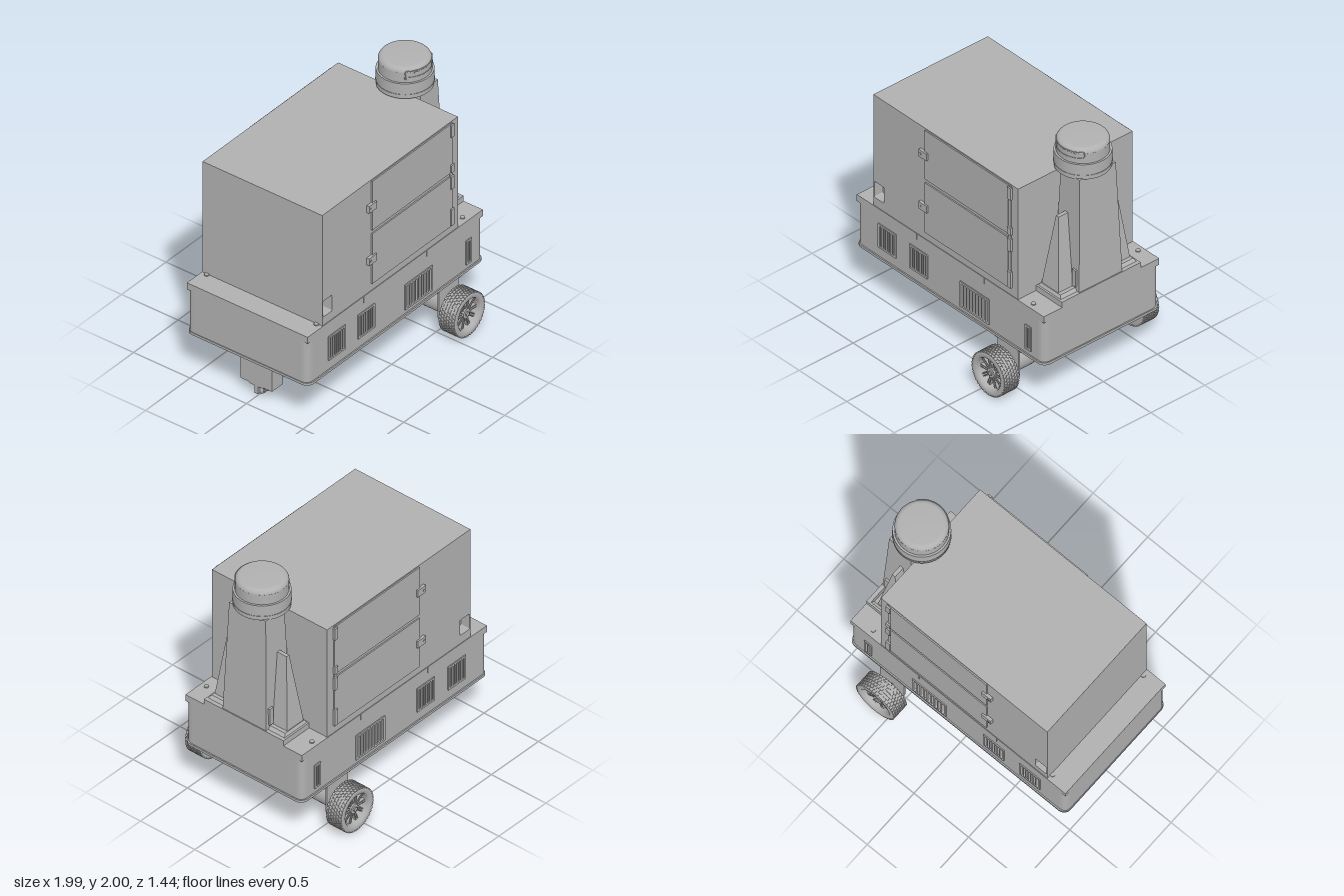
import * as THREE from 'three';
import { mergeGeometries } from 'three/addons/utils/BufferGeometryUtils.js';

const grey = new THREE.MeshStandardMaterial({ color: 0xb0b0b0 });
grey.name = 'plain grey';

function add(parent, name, geometry) {
  const mesh = new THREE.Mesh(geometry, grey);
  mesh.name = name;
  parent.add(mesh);
  return mesh;
}

// Box given by its limits on each axis
function span(x0, x1, y0, y1, z0, z1) {
  return new THREE.BoxGeometry(x1 - x0, y1 - y0, z1 - z0)
    .translate((x0 + x1) / 2, (y0 + y1) / 2, (z0 + z1) / 2);
}

// Box tapering between two rectangles [x0, x1, z0, z1]
function taper(y0, y1, low, high) {
  const g = new THREE.BoxGeometry(1, 1, 1).toNonIndexed();
  const p = g.attributes.position;
  for (let i = 0; i < p.count; i++) {
    const top = p.getY(i) > 0, r = top ? high : low;
    p.setXYZ(i, p.getX(i) > 0 ? r[1] : r[0], top ? y1 : y0, p.getZ(i) > 0 ? r[3] : r[2]);
  }
  g.computeVertexNormals();
  return g;
}

function roundRect(x0, x1, y0, y1, r, Kind = THREE.Path) {
  const s = new Kind();
  s.moveTo(x0 + r, y0);
  s.lineTo(x1 - r, y0);
  s.absarc(x1 - r, y0 + r, r, -Math.PI / 2, 0);
  s.lineTo(x1, y1 - r);
  s.absarc(x1 - r, y1 - r, r, 0, Math.PI / 2);
  s.lineTo(x0 + r, y1);
  s.absarc(x0 + r, y1 - r, r, Math.PI / 2, Math.PI);
  s.lineTo(x0, y0 + r);
  s.absarc(x0 + r, y0 + r, r, Math.PI, Math.PI * 1.5);
  return s;
}

function rect(x0, x1, y0, y1, Kind = THREE.Shape) {
  const s = new Kind();
  s.moveTo(x0, y0);
  s.lineTo(x1, y0);
  s.lineTo(x1, y1);
  s.lineTo(x0, y1);
  s.closePath();
  return s;
}

const extrude = (shape, depth) => new THREE.ExtrudeGeometry(shape, { depth, bevelEnabled: false, curveSegments: 8 });
const slab = (shape, y0, y1) => extrude(shape, y1 - y0).rotateX(-Math.PI / 2).translate(0, y0, 0);
const cylZ = (r, z0, z1, n = 32) => new THREE.CylinderGeometry(r, r, z1 - z0, n)
  .rotateX(Math.PI / 2).translate(0, 0, (z0 + z1) / 2);

// Vents: x range, y range, slot count
const vents = [
  [-0.76, -0.57, 0.465, 0.67, 7], [-0.43, -0.24, 0.465, 0.67, 7],
  [0.10, 0.41, 0.42, 0.635, 9], [0.785, 0.85, 0.425, 0.63, 2],
];

function ventHoles([x0, x1, y0, y1, n]) {
  const pitch = (x1 - x0 - 0.024) / n, holes = [];
  for (let i = 0; i < n; i++) {
    const a = x0 + 0.012 + pitch * (i + 0.2);
    holes.push(roundRect(a, a + pitch * 0.6, y0 + 0.015, y1 - 0.015, 0.006));
  }
  return holes;
}

// Hollow chassis shared by both sides
function buildChassis(g) {
  const end = (x0, x1, dir) => {
    const s = new THREE.Shape(), r = 0.06;
    const outer = dir > 0 ? x1 : x0, inner = dir > 0 ? x0 : x1;
    s.moveTo(inner, -0.535);
    s.quadraticCurveTo(outer, -0.535, outer, -0.535 + r);
    s.lineTo(outer, 0.535 - r);
    s.quadraticCurveTo(outer, 0.535, inner, 0.535);
    s.closePath();
    return slab(s, 0.385, 0.74);
  };
  add(g, 'chassisFrontEnd', end(0.92, 0.98, 1));
  add(g, 'chassisRearEnd', end(-0.99, -0.93, -1));
  add(g, 'chassisDeck', span(-0.99, 0.98, 0.735, 0.79, -0.535, 0.535));
  add(g, 'chassisFloor', slab(roundRect(-0.995, 0.99, -0.545, 0.545, 0.06, THREE.Shape), 0.37, 0.39));
  add(g, 'innerBallast', span(0.74, 0.92, 0.39, 0.735, -0.5, 0.5));
}

// Vented wall, doors, latches and hinges on the +z side; turned over for -z
function buildSide(mirrored) {
  const g = new THREE.Group();
  const sx = mirrored ? -1 : 1;
  const X = (a, b) => sx > 0 ? [a, b] : [-b, -a];
  const box = (name, a, b, y0, y1, z0, z1) => add(g, name, span(...X(a, b), y0, y1, z0, z1));

  const wall = rect(...X(-0.93, 0.92), 0.385, 0.74);
  for (const [a, b, y0, y1, n] of vents) {
    const v = [...X(a, b), y0, y1, n], holes = ventHoles(v);
    wall.holes.push(...holes);
    const frame = roundRect(v[0], v[1], y0, y1, 0.005, THREE.Shape);
    frame.holes.push(...holes);
    add(g, 'ventFrame', extrude(frame, 0.008).translate(0, 0, 0.535));
  }
  add(g, 'chassisWall', extrude(wall, 0.02).translate(0, 0, 0.515));
  for (const x of [-0.36, 0.35]) box('deckSeam', x - 0.003, x + 0.003, 0.74, 0.79, 0.53, 0.539);

  // Outer layer of the cabinet with a pocket at the rear corner
  const skin = rect(...X(-0.82, 0.705), 0.79, 1.73);
  skin.holes.push(roundRect(...X(-0.81, -0.71), 0.86, 0.995, 0.01));
  add(g, 'cabinetSide', extrude(skin, 0.08).translate(0, 0, 0.45));

  for (const [y0, y1] of [[0.85, 1.275], [1.305, 1.72]]) box('door', -0.27, 0.61, y0, y1, 0.525, 0.54);
  for (const y of [1.065, 1.51]) {
    box('latch', -0.32, -0.235, y - 0.03, y + 0.03, 0.525, 0.553);
    add(g, 'latchPin', cylZ(0.009, 0.55, 0.557, 16).translate(sx * -0.3, y, 0));
  }
  box('hingeStrip', 0.61, 0.635, 0.85, 1.72, 0.525, 0.537);
  for (const [y0, y1] of [[0.86, 0.995], [1.17, 1.275], [1.31, 1.37], [1.61, 1.71]])
    box('hinge', 0.61, 0.645, y0, y1, 0.525, 0.55);
  for (const x of [-0.83, 0.815])
    add(g, 'deckScrew', new THREE.CylinderGeometry(0.018, 0.018, 0.008, 20).translate(sx * x, 0.794, 0.485));

  if (mirrored) g.rotation.y = Math.PI;
  g.name = mirrored ? 'rightSidePanels' : 'leftSidePanels';
  return g;
}

// Mast with side fins, carrying the round sensor head
function buildMast(g) {
  add(g, 'mastFoot', span(0.705, 0.98, 0.79, 0.835, -0.365, 0.365));
  add(g, 'mast', taper(0.835, 1.76, [0.71, 0.972, -0.2, 0.2], [0.742, 0.94, -0.168, 0.168]));
  for (const s of [-1, 1]) {
    const z = (a, b) => s > 0 ? [a, b] : [-b, -a];
    add(g, 'mastFin', taper(0.835, 1.435, [0.725, 0.905, ...z(0.15, 0.335)], [0.802, 0.83, ...z(0.15, 0.265)]));
    add(g, 'finBase', taper(0.835, 0.858, [0.712, 0.95, ...z(0.15, 0.35)], [0.725, 0.93, ...z(0.15, 0.338)]));
    add(g, 'mastClip', span(0.908, 0.945, 0.87, 1.01, ...z(0.18, 0.21)));
    add(g, 'mastBracket', span(0.72, 0.75, 0.91, 1.05, ...z(0.18, 0.207)));
  }
  add(g, 'headSupport', span(0.69, 0.75, 1.68, 1.75, -0.1, 0.1));

  const head = new THREE.Group();
  head.name = 'sensorHead';
  head.position.set(0.785, 0, 0);
  const lathe = pts => new THREE.LatheGeometry(pts.map(p => new THREE.Vector2(...p)), 64);
  add(head, 'headUnderside', lathe([[0, 1.725], [0.1, 1.728], [0.165, 1.74], [0.195, 1.755]]));
  add(head, 'headCollar', new THREE.CylinderGeometry(0.205, 0.205, 0.125, 64).translate(0, 1.815, 0));
  add(head, 'headGroove', new THREE.CylinderGeometry(0.208, 0.208, 0.006, 64).translate(0, 1.785, 0));
  add(head, 'headDrum', new THREE.CylinderGeometry(0.19, 0.19, 0.09, 64).translate(0, 1.915, 0));
  const dome = [[0.19, 1.955]];
  for (let i = 1; i <= 8; i++) {
    const a = i * Math.PI / 16;
    dome.push([0.15 + 0.04 * Math.cos(a), 1.955 + 0.04 * Math.sin(a)]);
  }
  add(head, 'headCap', lathe([...dome, [0.06, 1.999], [0, 2]]));

  // Lens window outline wrapped around the drum
  const outline = roundRect(-0.9, 0.9, -0.025, 0.025, 0.0249).getSpacedPoints(80)
    .map(p => new THREE.Vector3(0.189 * Math.sin(p.x), 1.945 + p.y, 0.189 * Math.cos(p.x)));
  add(head, 'lensWindowFrame', new THREE.TubeGeometry(new THREE.CatmullRomCurve3(outline, true), 120, 0.004, 6, true));
  for (const a of [-0.48, 0.48])
    add(head, 'lens', cylZ(0.019, 0.17, 0.194, 24).rotateY(a).translate(0, 1.945, 0));
  g.add(head);
}

// Treaded, spoked wheel centred on its own z axis
function buildWheel() {
  const g = new THREE.Group();
  g.name = 'driveWheel';
  const profile = [[0.13, -0.07], [0.162, -0.072], [0.17, -0.062], [0.17, 0.062], [0.162, 0.072],
    [0.13, 0.07], [0.122, 0.05], [0.122, -0.05], [0.13, -0.07]].map(p => new THREE.Vector2(...p));
  add(g, 'tyre', new THREE.LatheGeometry(profile, 60).rotateX(Math.PI / 2));
  const blocks = [], spokes = [];
  for (let row = 0; row < 6; row++) for (let i = 0; i < 40; i++)
    blocks.push(new THREE.BoxGeometry(0.012, 0.018, 0.019).translate(0.169, 0, (row - 2.5) * 0.0235)
      .rotateZ((i + (row % 2) / 2) * Math.PI / 20));
  add(g, 'treadBlocks', mergeGeometries(blocks));
  for (let i = 0; i < 10; i++) for (const s of [-0.009, 0.009])
    spokes.push(new THREE.BoxGeometry(0.1, 0.007, 0.025).translate(0.078, s, 0.02).rotateZ(i * Math.PI / 5));
  add(g, 'spokes', mergeGeometries(spokes));
  add(g, 'hub', cylZ(0.038, -0.05, 0.045));
  add(g, 'hubCap', cylZ(0.018, 0.04, 0.055, 6));
  return g;
}

// Motor, bracket and wheel on the +z side
function buildDrive() {
  const g = new THREE.Group();
  const wheel = buildWheel();
  wheel.position.set(0.6, 0.183, 0.648);
  g.add(wheel);
  const at = (name, r, z0, z1, y = 0.22, x = 0.6) => add(g, name, cylZ(r, z0, z1).translate(x, y, 0));
  at('axle', 0.015, 0.52, 0.62, 0.183);
  at('gearbox', 0.097, 0.37, 0.52);
  at('motor', 0.087, 0.25, 0.37);
  at('motorShaftEnd', 0.02, 0.238, 0.25);
  for (const x of [0.55, 0.65]) at('motorTerminal', 0.009, 0.232, 0.25, 0.22, x);
  add(g, 'motorPlate', extrude(roundRect(0.49, 0.71, 0.115, 0.37, 0.03, THREE.Shape), 0.014).translate(0, 0, 0.52));
  add(g, 'motorFlange', span(0.46, 0.74, 0.355, 0.372, 0.3, 0.534));
  return g;
}

// Rear leg with ball caster
function buildCaster(g) {
  add(g, 'casterLeg', span(-0.89, -0.765, 0.1, 0.375, -0.14, 0.14));
  add(g, 'casterPlate', span(-0.89, -0.765, 0.09, 0.112, -0.065, 0.065));
  for (const s of [-1, 1]) {
    add(g, 'casterFork', span(-0.85, -0.806, 0.03, 0.095, s * 0.036 - 0.007, s * 0.036 + 0.007));
    add(g, 'casterLug', span(-0.828 + s * 0.05 - 0.011, -0.828 + s * 0.05 + 0.011, 0.025, 0.095, -0.014, 0.014));
  }
  add(g, 'casterPin', cylZ(0.012, -0.06, 0.06, 16).translate(-0.828, 0.05, 0));
  add(g, 'casterBall', new THREE.SphereGeometry(0.042, 24, 16).translate(-0.828, 0.042, 0));
}

export function createModel() {
  const model = new THREE.Group();
  model.name = 'wheeledCabinetRobot';
  buildChassis(model);
  add(model, 'cabinetCore', span(-0.82, 0.705, 0.79, 1.73, -0.45, 0.45));
  model.add(buildSide(false), buildSide(true));
  buildMast(model);
  const left = buildDrive(), right = buildDrive();
  left.name = 'leftDrive';
  right.name = 'rightDrive';
  right.rotation.y = Math.PI;
  right.position.x = 1.2;
  model.add(left, right);
  buildCaster(model);
  return model;
}
